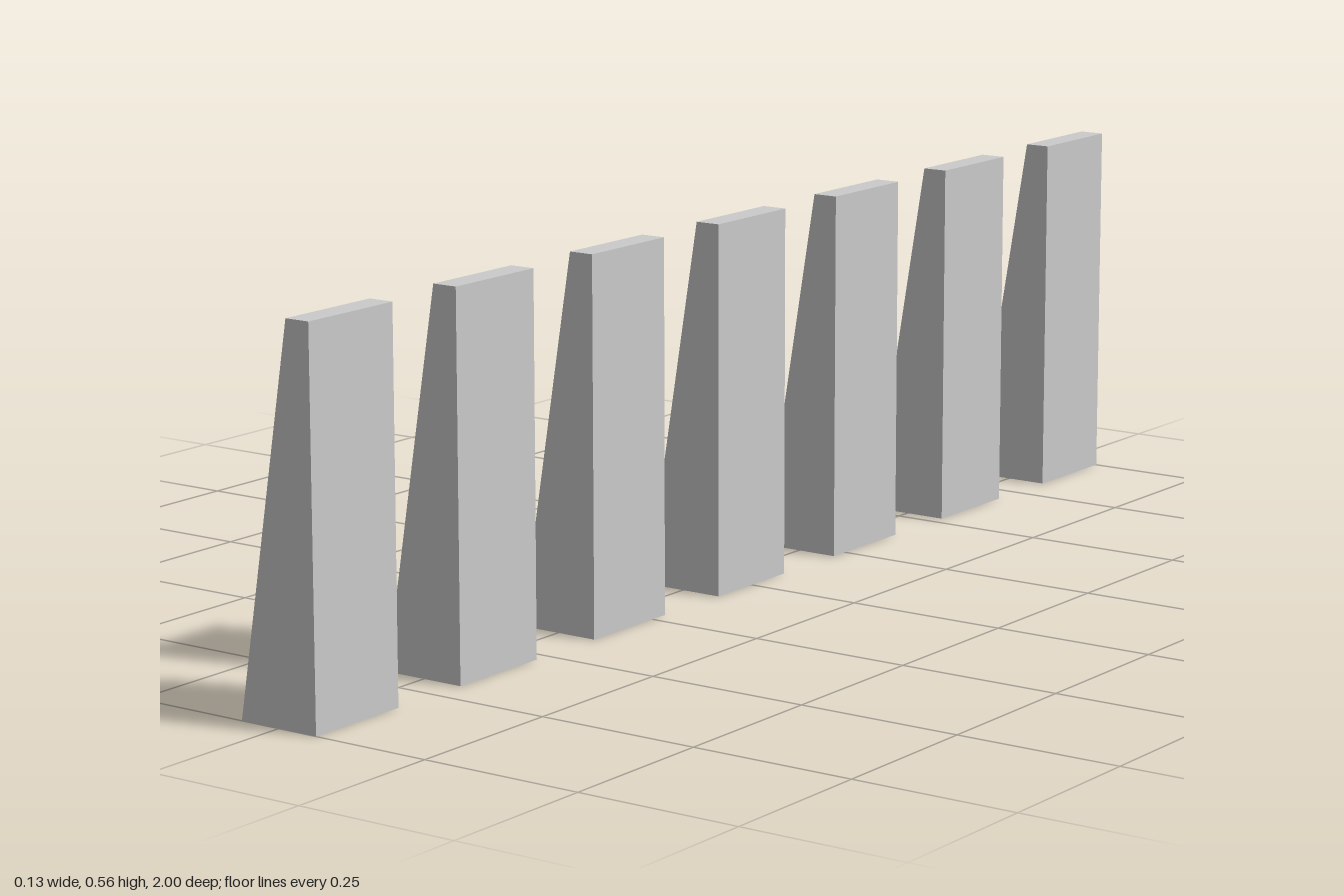
import * as THREE from 'three';

export function createModel() {
  const group = new THREE.Group();
  group.name = 'buttressRow';
  const material = new THREE.MeshStandardMaterial({ color: 0xcccccc, flatShading: true });

  const count = 7, depth = 0.171;
  const spacing = (2 - depth) / (count - 1);

  // Tapered profile: vertical on +x, sloping on -x
  const profile = new THREE.Shape([
    new THREE.Vector2(-0.065, 0),
    new THREE.Vector2(0.065, 0),
    new THREE.Vector2(0.065, 0.559),
    new THREE.Vector2(0.026, 0.559),
  ]);
  const geometry = new THREE.ExtrudeGeometry(profile, { depth, bevelEnabled: false });
  geometry.translate(0, 0, -depth / 2);

  // Evenly spaced row along z
  for (let i = 0; i < count; i++) {
    const buttress = new THREE.Mesh(geometry, material);
    buttress.name = `buttress${i + 1}`;
    buttress.position.z = (i - (count - 1) / 2) * spacing;
    group.add(buttress);
  }
  return group;
}
